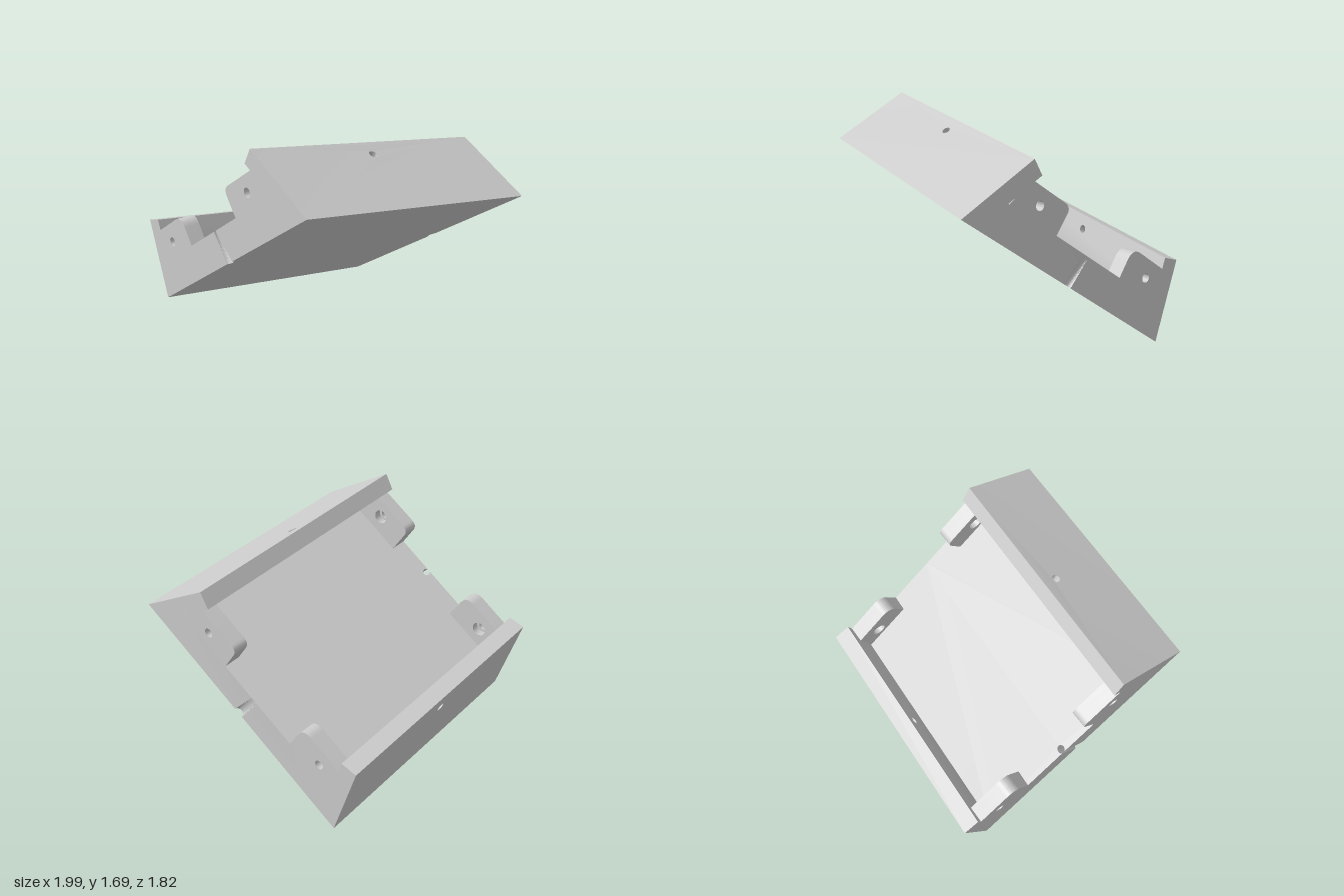
import * as THREE from 'three';
import { toCreasedNormals } from 'three/addons/utils/BufferGeometryUtils.js';

const HALF = 0.91; // half depth in z
const material = new THREE.MeshStandardMaterial({ color: 0xcccccc });

// The cross-section slides sideways and down from the front (t = 0) to the back (t = 1)
const slide = (x, y, t) => [x + t * (0.155 + 0.02 * x), y - 0.255 * t];

// Section corners on the front plane
const BL = [-0.82, 0.255], BR = [0.82, 1.385];
const TL = [-1, 0.83], TLi = [-0.885, 0.865], FL = [-0.79, 0.567];
const TR = [0.28, 1.69], TRi = [0.22, 1.58], FR = [0.477, 1.435];

const lerp = (a, b, k) => a + (b - a) * k;

function addMesh(group, name, geometry) {
  const mesh = new THREE.Mesh(toCreasedNormals(geometry, 0.6), material);
  mesh.name = name;
  group.add(mesh);
}

// A panel drawn in a unit square (u along the section, v front to back),
// bent into a section quad: outer edge a-b, inner edge d-c.
function panel([a, b, c, d], shape, inner) {
  const geo = new THREE.ExtrudeGeometry(shape, { depth: 1, bevelEnabled: false, curveSegments: 16 });
  const p = geo.attributes.position;
  for (let i = 0; i < p.count; i++) {
    const w = p.getZ(i);
    let u = p.getX(i), v = p.getY(i);
    if (w > 0.5) [u, v] = inner(u, v);
    const sx = lerp(lerp(a[0], b[0], u), lerp(d[0], c[0], u), w);
    const sy = lerp(lerp(a[1], b[1], u), lerp(d[1], c[1], u), w);
    const [x, y] = slide(sx, sy, v);
    p.setXYZ(i, x, y, HALF - 2 * HALF * v);
  }
  return geo;
}

// Side wall with one round hole that runs square through the wall
function wall(quad, uOut, uIn, v) {
  const ru = 0.048;
  const s = new THREE.Shape([[0, 0], [1, 0], [1, 1], [0, 1]].map(q => new THREE.Vector2(...q)));
  s.holes.push(new THREE.Path().absellipse(uOut, v, ru, 0.0165, 0, Math.PI * 2, true));
  const isHole = u => Math.abs(u - uOut) < ru * 1.01;
  return panel(quad, s, (u, vv) => [isHole(u) ? uIn + (u - uOut) * 2 : u, vv]);
}

// Floor slab with a slanted drilled groove in the middle of the front and back edges
function floorSlab() {
  const uc = 0.505, ru = 0.018, rv = 0.0165, n = 14;
  const pts = [[0, 0]];
  for (let i = 0; i <= n; i++) {
    const a = Math.PI * (1 - i / n);
    pts.push([uc + ru * Math.cos(a), rv * Math.sin(a)]);
  }
  pts.push([1, 0], [1, 1]);
  for (let i = 0; i <= n; i++) {
    const a = Math.PI * i / n;
    pts.push([uc + ru * Math.cos(a), 1 - rv * Math.sin(a)]);
  }
  pts.push([0, 1]);
  const shape = new THREE.Shape(pts.map(q => new THREE.Vector2(...q)));
  return panel([BL, BR, FR, FL], shape, (u, v) => {
    if (Math.abs(u - uc) > ru * 1.01) return [u, v];
    if (v > 0.5) return [u, 1]; // the back groove runs out at the floor
    // the front groove closes to nearly a full circle at the floor
    const a = Math.atan2(v / rv, (u - uc) / ru);
    const open = Math.PI / 2 + (a - Math.PI / 2) * 1.7;
    return [uc + ru * Math.cos(open), Math.max(0, rv * (Math.sin(open) + Math.sin(0.35 * Math.PI)))];
  });
}

// Rounded corner lug: thin outer layer with a screw hole, inner layer with a counterbore
function lug(outline, hole, back) {
  const group = new THREE.Group();
  const layers = [['lugFace', 0.85, 0.033], ['lugCounterbore', 0.79, 0.052]];
  for (const [name, z, r] of layers) {
    const s = outline();
    s.holes.push(new THREE.Path().absarc(hole[0], hole[1], r, 0, Math.PI * 2, true));
    const geo = new THREE.ExtrudeGeometry(s, { depth: 0.06, bevelEnabled: false, curveSegments: 16 });
    const [x, y] = slide(hole[0], hole[1], back ? 1 : 0);
    geo.translate(x - hole[0], y - hole[1], back ? -z - 0.06 : z);
    addMesh(group, name, geo);
  }
  return group;
}

function leftOutline() {
  const s = new THREE.Shape();
  s.moveTo(-0.79, 0.53);
  s.lineTo(-0.43, 0.77);
  s.lineTo(-0.45, 0.8);
  s.lineTo(-0.525, 0.917);
  s.quadraticCurveTo(-0.572, 0.985, -0.64, 0.94);
  s.lineTo(-0.89, 0.77);
  s.closePath();
  return s;
}

function rightOutline() {
  const s = new THREE.Shape();
  s.moveTo(0.12, 1.145);
  s.lineTo(0.5, 1.41);
  s.lineTo(0.3, 1.565);
  s.lineTo(0.03, 1.383);
  s.quadraticCurveTo(-0.021, 1.349, 0.012, 1.302);
  s.closePath();
  return s;
}

export function createModel() {
  const model = new THREE.Group();
  model.name = 'tiltedTray';

  addMesh(model, 'floor', floorSlab());
  addMesh(model, 'lowerWall', wall([TL, BL, FL, TLi], 0.2, 0.34, 0.5));
  addMesh(model, 'upperWall', wall([BR, TR, TRi, FR], 0.81, 0.6, 0.483));

  // Four lugs, one in each corner
  for (const back of [false, true]) {
    const end = back ? 'back' : 'front';
    const lower = lug(leftOutline, [-0.7, 0.75], back);
    lower.name = end + 'LowerLug';
    const upper = lug(rightOutline, [0.235, 1.39], back);
    upper.name = end + 'UpperLug';
    model.add(lower, upper);
  }
  return model;
}
